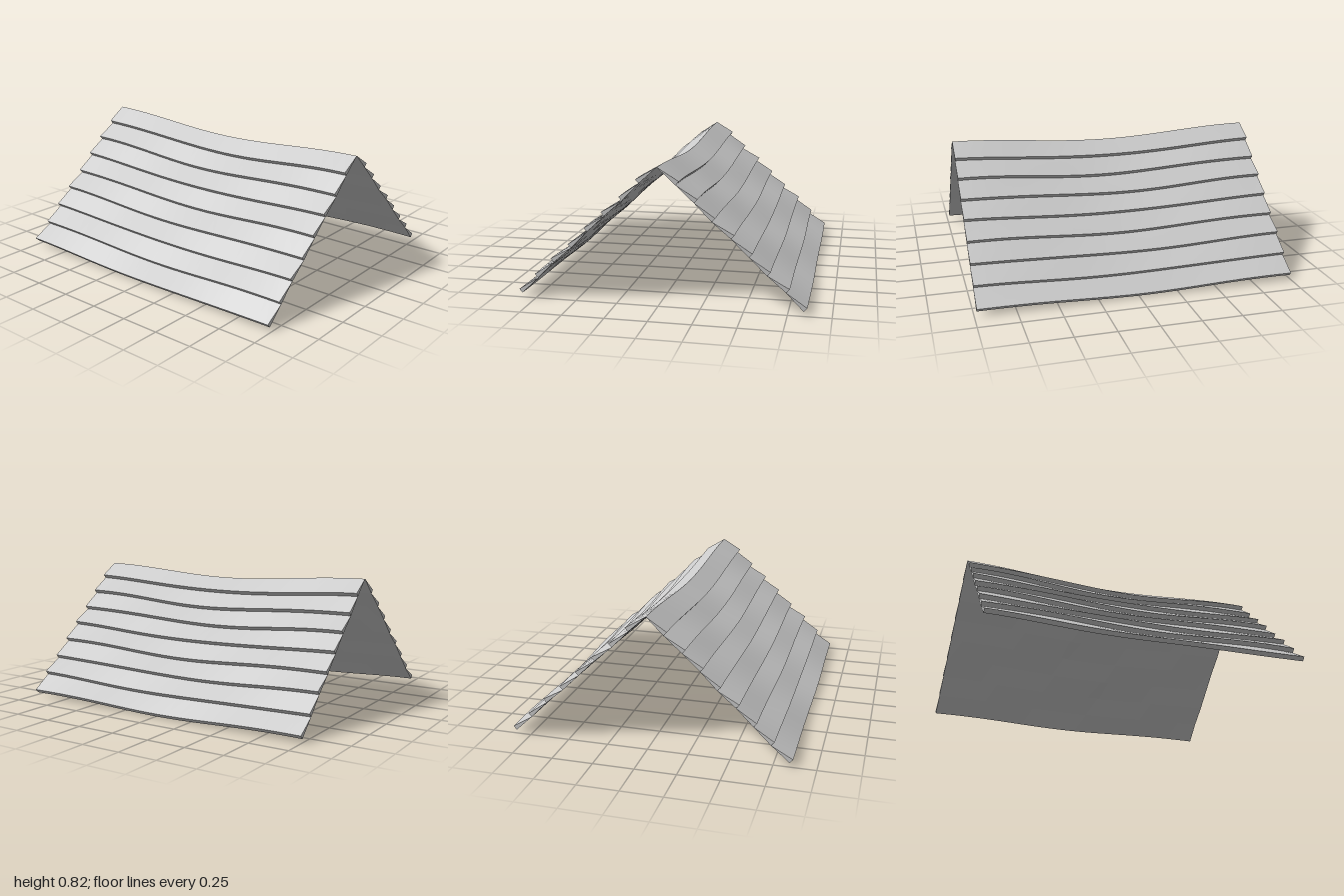
import * as THREE from 'three';
import { toCreasedNormals } from 'three/addons/utils/BufferGeometryUtils.js';

const COURSES = 8, SEGMENTS = 24, RUN = 0.842;
const HALF_LENGTH = 0.9925, TILT = 0.015;
const LIP_Z = 0.02, LIP_Y = 0.022;

// Point on the sagging slope: u along the ridge (-1..1), row counted down from the ridge
function slopePoint(u, row, side, lip) {
  const t = row / COURSES;
  const phase = row * 2.3 + side * 0.9;
  const ripple = row === 0 ? 0 : 0.0035 * Math.sin(u * 5.2 + phase);
  const sag = (0.05 - 0.03 * t) * 0.5 * (1 + Math.cos(Math.PI * u));
  const x = u * HALF_LENGTH + TILT * (0.45 - t);
  const y = 0.825 - 0.797 * t - sag + ripple + (lip ? LIP_Y : 0);
  const z = RUN * t + ripple * 0.7 + (lip ? LIP_Z : 0);
  return [x, y, side * z];
}

// One shingle course: a wedge, thin at the top and thick at its lower edge
function courseGeometry(row, side) {
  const positions = [];
  const tri = (a, b, c) => positions.push(...a, ...(side > 0 ? [...b, ...c] : [...c, ...b]));
  const quad = (a, b, c, d) => { tri(a, b, c); tri(a, c, d); };
  const section = (i) => {
    const u = -1 + (2 * i) / SEGMENTS;
    return [
      slopePoint(u, row, side, false),
      slopePoint(u, row + 1, side, true),
      slopePoint(u, row + 1, side, false),
    ];
  };
  for (let i = 0; i < SEGMENTS; i++) {
    const p = section(i), q = section(i + 1);
    for (let k = 0; k < 3; k++) {
      const n = (k + 1) % 3;
      quad(p[k], p[n], q[n], q[k]);
    }
  }
  // End caps
  const [a, b, c] = section(0);
  tri(a, c, b);
  const [d, e, f] = section(SEGMENTS);
  tri(d, e, f);

  const geometry = new THREE.BufferGeometry();
  geometry.setAttribute('position', new THREE.Float32BufferAttribute(positions, 3));
  return toCreasedNormals(geometry, 0.4);
}

export function createModel() {
  const roof = new THREE.Group();
  roof.name = 'shingleRoof';
  const shingleGrey = new THREE.MeshStandardMaterial({ color: 0xcccccc });
  shingleGrey.name = 'shingle grey';

  // Front and back slopes
  for (const side of [1, -1]) {
    const slope = new THREE.Group();
    slope.name = side > 0 ? 'frontSlope' : 'backSlope';
    for (let row = 0; row < COURSES; row++) {
      const course = new THREE.Mesh(courseGeometry(row, side), shingleGrey);
      course.name = `shingleCourse${row + 1}`;
      slope.add(course);
    }
    roof.add(slope);
  }

  // Rest the eaves on the ground
  const box = new THREE.Box3().setFromObject(roof);
  for (const slope of roof.children) slope.position.y = -box.min.y;
  return roof;
}
